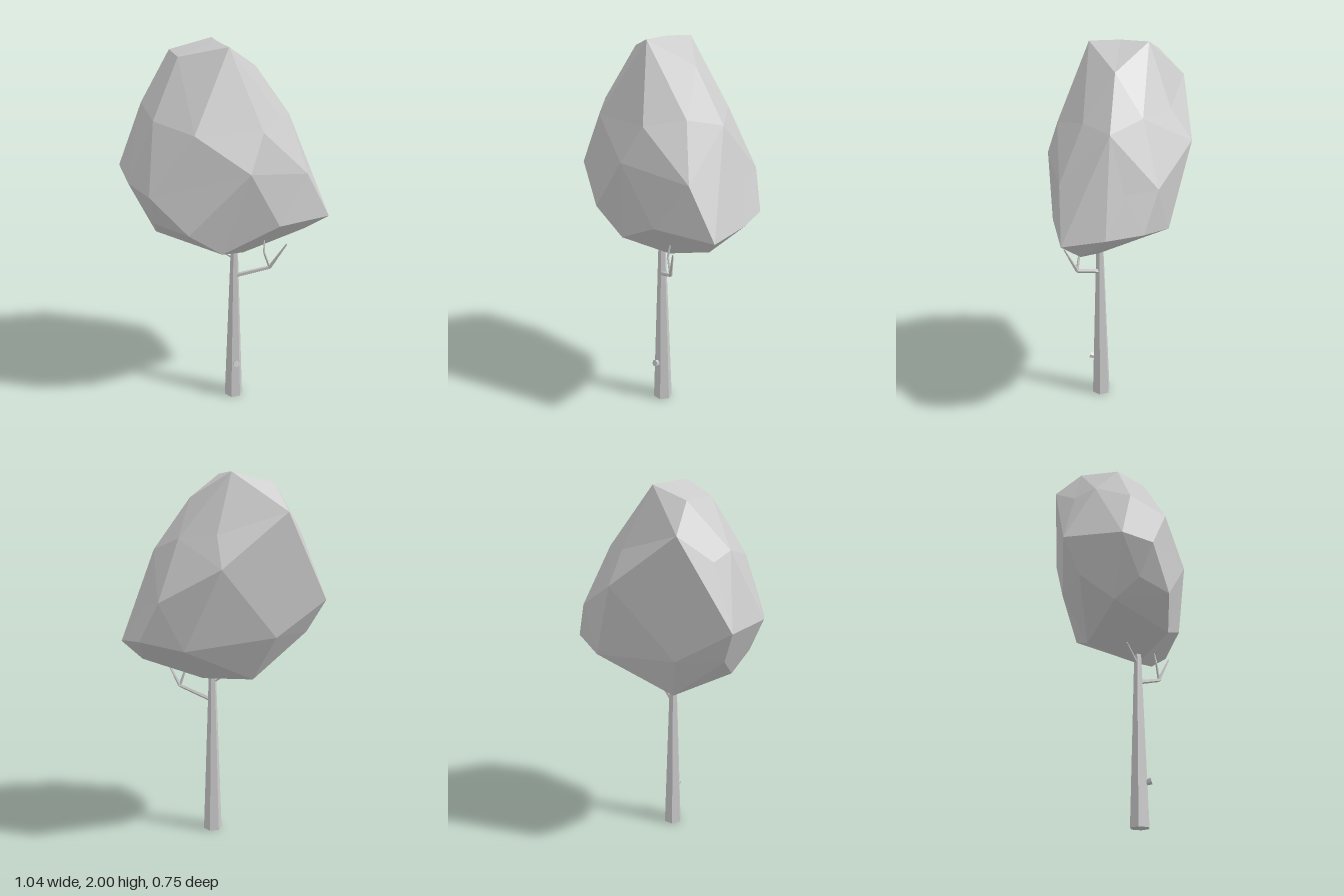
import * as THREE from 'three';
import { ConvexGeometry } from 'three/addons/geometries/ConvexGeometry.js';

const material = new THREE.MeshStandardMaterial({ color: 0xcccccc, flatShading: true });
const V = (x, y, z) => new THREE.Vector3(x, y, z);

function add(parent, name, geometry) {
  const mesh = new THREE.Mesh(geometry, material);
  mesh.name = name;
  parent.add(mesh);
  return mesh;
}

// Tapered rod between two points
function rod(parent, name, a, b, r0, r1, sides) {
  const dir = b.clone().sub(a);
  const mesh = add(parent, name, new THREE.CylinderGeometry(r1, r0, dir.length(), sides));
  mesh.position.copy(a).add(b).multiplyScalar(0.5);
  mesh.quaternion.setFromUnitVectors(V(0, 1, 0), dir.normalize());
}

// Crown corners in rings from the top down
const crownRings = [
  [[-0.02, 1.995, 0.155], [-0.04, 2, 0], [-0.02, 1.995, -0.145], [-0.235, 1.94, -0.175], [-0.24, 1.94, 0.035]],
  [[0.165, 1.87, 0], [0.08, 1.69, -0.265], [-0.27, 1.8, -0.31], [-0.39, 1.67, -0.175], [-0.41, 1.71, -0.06],
    [-0.39, 1.66, 0.125], [-0.23, 1.62, 0.295], [0.11, 1.61, 0.3], [0.25, 1.64, 0.145], [0.355, 1.61, 0], [0.25, 1.67, -0.145]],
  [[0.08, 1.53, -0.375], [0.37, 1.36, -0.235], [0.42, 1.34, -0.08], [0.37, 1.36, 0.245], [0.025, 1.43, 0.373],
    [-0.447, 1.32, 0.245], [-0.52, 1.35, 0.1], [-0.515, 1.35, -0.2]],
  [[0.515, 1.1, 0.215], [0.515, 1.14, 0], [0.46, 1.16, -0.175], [0.25, 1.12, -0.28], [0.2, 1.12, 0.32],
    [-0.27, 1.12, 0.305], [-0.41, 1.15, 0.17], [-0.435, 1.175, -0.13], [-0.23, 1.17, -0.26]],
  [[0.41, 1.01, 0.14], [0.08, 0.893, 0.1], [-0.09, 0.985, 0.28], [-0.38, 1.05, 0.04], [-0.14, 0.93, -0.14]],
];

// Wrap the corners after pulling them towards a sphere, then restore them, so shallow hollows survive
function crownGeometry() {
  const centre = V(0, 1.4, 0);
  const points = crownRings.flat().map((p) => {
    const v = V(...p).sub(centre);
    return v.multiplyScalar(v.length() ** -0.6);
  });
  const geometry = new ConvexGeometry(points);
  const pos = geometry.attributes.position;
  const v = V(0, 0, 0);
  for (let i = 0; i < pos.count; i++) {
    v.fromBufferAttribute(pos, i);
    v.multiplyScalar(v.length() ** 1.5).add(centre);
    pos.setXYZ(i, v.x, v.y, v.z);
  }
  geometry.computeVertexNormals();
  return geometry;
}

export function createModel() {
  const tree = new THREE.Group();
  tree.name = 'tree';

  add(tree, 'crown', crownGeometry());

  // Six-sided trunk with a corner facing each side
  const trunk = add(tree, 'trunk', new THREE.CylinderGeometry(0.014, 0.052, 1.1, 6).rotateY(Math.PI / 6));
  trunk.position.set(0.028, 0.55, 0.104);

  // Forked branch
  const fork = V(0.195, 0.835, 0.2);
  const elbow = V(0.165, 0.925, 0.19);
  const forked = new THREE.Group();
  forked.name = 'forkedBranch';
  rod(forked, 'branchArm', V(0.03, 0.765, 0.11), fork, 0.013, 0.01, 5);
  rod(forked, 'branchLongTip', fork, V(0.268, 0.985, 0.252), 0.01, 0.004, 5);
  rod(forked, 'branchElbow', fork, elbow, 0.008, 0.006, 5);
  rod(forked, 'branchShortTip', elbow, V(0.17, 0.985, 0.18), 0.006, 0.004, 5);
  tree.add(forked);

  // Small branch on the other side
  rod(tree, 'smallBranch', V(0.025, 0.87, 0.1), V(-0.09, 0.945, 0.06), 0.009, 0.005, 5);

  // Sawn-off stub low on the trunk
  rod(tree, 'stub', V(0.028, 0.22, 0.125), V(0.028, 0.232, 0.165), 0.013, 0.019, 6);

  return tree;
}
